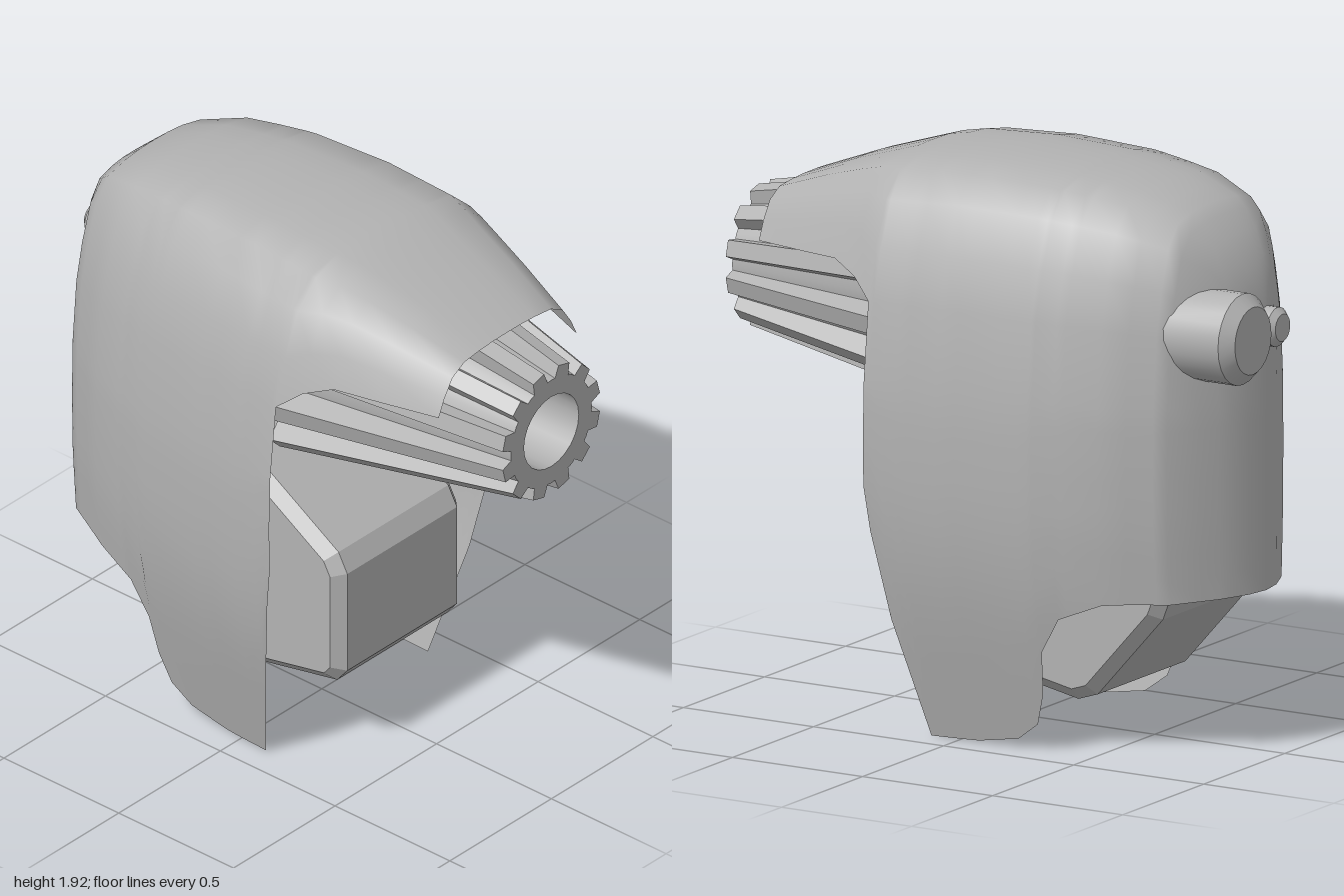
import * as THREE from 'three';
import { mergeGeometries, mergeVertices, toCreasedNormals } from 'three/addons/utils/BufferGeometryUtils.js';

const grey = new THREE.MeshStandardMaterial({ color: 0xb2b2b2, side: THREE.DoubleSide });
grey.name = 'grey metal';

// Linear lookup in a sorted list of [key, value] pairs
function lookup(table, t) {
  if (t <= table[0][0]) return table[0][1];
  for (let i = 1; i < table.length; i++) {
    const [a, va] = table[i - 1], [b, vb] = table[i];
    if (t <= b) return va + (vb - va) * (t - a) / (b - a);
  }
  return table[table.length - 1][1];
}

// Skin a list of sections, each with the same number of [x, y, z] points
function skin(sections) {
  const n = sections[0].length, index = [];
  for (let i = 0; i < sections.length - 1; i++) {
    for (let j = 0; j < n - 1; j++) {
      const a = i * n + j, b = a + n;
      index.push(a, a + 1, b, b, a + 1, b + 1);
    }
  }
  const g = new THREE.BufferGeometry();
  g.setAttribute('position', new THREE.Float32BufferAttribute(sections.flat(2), 3));
  g.setIndex(index);
  return g;
}

// Mirror half a section, given from the crown down, into a full one
const mirrored = half => [...half.slice(1).reverse().map(([x, y, z]) => [-x, y, z]), ...half];

function add(group, name, geometry) {
  const mesh = new THREE.Mesh(geometry, grey);
  mesh.name = name;
  group.add(mesh);
  return mesh;
}

// Crown of a cross-section: [share of half width, share of height]
const crown = [[0, 1], [0.18, 0.997], [0.36, 0.985], [0.59, 0.95], [0.75, 0.83], [0.86, 0.61], [0.94, 0.375]];
const topLine = [[-0.93, 1.45], [-0.915, 1.55], [-0.89, 1.62], [-0.83, 1.73], [-0.73, 1.82], [-0.55, 1.88],
  [-0.3, 1.91], [0, 1.92], [0.27, 1.905], [0.35, 1.89], [0.6, 1.81], [0.81, 1.73]];
const halfWidth = [[-0.93, 0], [-0.915, 0.09], [-0.87, 0.2], [-0.77, 0.36], [-0.57, 0.47], [-0.33, 0.53], [0, 0.558], [0.27, 0.565]];
const bottomLine = [[-0.93, 0.54], [-0.58, 0.535], [-0.42, 0.47], [-0.35, 0.35], [-0.335, 0.2], [-0.3, 0.09],
  [-0.22, 0.03], [-0.07, 0.005], [0.11, 0], [0.2, 0.4], [0.25, 0.7], [0.27, 0.85]];
const sideTaper = [[0, 0.71], [0.2, 0.8], [0.4, 0.89], [0.54, 0.945], [0.77, 0.99], [1, 1], [1.2, 0.99]];

function shellGeometry() {
  // Cowl body, from the rear wall to the front edge
  const stations = [-0.93, -0.915, -0.89, -0.87, -0.83, -0.77, -0.73, -0.65, -0.57, -0.45, -0.42, -0.35, -0.335,
    -0.3, -0.22, -0.07, 0, 0.11, 0.15, 0.2, 0.25, 0.27];
  const body = stations.map(z => {
    const w = lookup(halfWidth, z), top = lookup(topLine, z), low = lookup(bottomLine, z);
    const half = crown.map(([fx, k]) => [w * fx, 1.2 + (top - 1.2) * k, z]);
    for (let i = 0; i <= 8; i++) {
      const y = 1.2 + (low - 1.2) * i / 8;
      half.push([w * lookup(sideTaper, y), y, z]);
    }
    return mirrored(half);
  });
  // Visor reaching forward over the turbine: z, edge x, edge y
  const visor = [[0.27, 0.5311, 1.4644], [0.35, 0.49, 1.53], [0.45, 0.45, 1.57], [0.6, 0.405, 1.565], [0.81, 0.34, 1.56]]
    .map(([z, ex, ey]) => mirrored(crown.map(([fx, k]) =>
      [ex * fx / 0.94, ey + (lookup(topLine, z) - ey) * (k - 0.375) / 0.625, z])));
  const g = mergeVertices(mergeGeometries([skin(body), skin(visor)]), 1e-3);
  g.computeVertexNormals();
  return g;
}

// Chamfered block from a side profile of [z, y] corners
function blockGeometry() {
  const bevel = 0.04, width = 0.62;
  const corners = [[0.35, 0.305], [0.35, 0.77], [-0.15, 1.08], [-0.73, 1.08], [-0.73, 0.5], [-0.42, 0.15]]
    .map(p => new THREE.Vector2(...p));
  const points = corners.flatMap((p, i) => [corners.at(i - 1), corners[(i + 1) % corners.length]]
    .map(q => p.clone().add(q.clone().sub(p).setLength(0.045))));
  const g = new THREE.ExtrudeGeometry(new THREE.Shape(points), {
    depth: width - 2 * bevel, bevelEnabled: true, bevelSegments: 1,
    bevelSize: bevel, bevelThickness: bevel, bevelOffset: -bevel,
  });
  g.translate(0, 0, bevel - width / 2);
  return g.rotateY(-Math.PI / 2);
}

// Turned part along z from [radius, z] points
function turned(points, segments) {
  const g = new THREE.LatheGeometry(points.map(p => new THREE.Vector2(...p)), segments);
  return toCreasedNormals(g.rotateX(Math.PI / 2), 0.5);
}

// Tapering blade lying along z above the turbine axis
function bladeGeometry() {
  const g = new THREE.BoxGeometry(1, 1, 1), p = g.attributes.position;
  for (let i = 0; i < p.count; i++) {
    const front = p.getZ(i) > 0, outer = p.getY(i) > 0;
    const width = front ? (outer ? 0.055 : 0.07) : (outer ? 0.07 : 0.1);
    const radius = front ? (outer ? 0.24 : 0.185) : (outer ? 0.425 : 0.32);
    p.setXYZ(i, p.getX(i) * width, radius, front ? 1 : 0.06);
  }
  const flat = g.toNonIndexed();
  flat.computeVertexNormals();
  return flat;
}

export function createModel() {
  const model = new THREE.Group();
  model.name = 'engine';

  add(model, 'cowlShell', shellGeometry());
  add(model, 'engineBlock', blockGeometry());

  // Turbine: hollow cone with twelve blades
  const turbine = new THREE.Group();
  turbine.name = 'turbine';
  turbine.position.y = 1.425;
  add(turbine, 'turbineHub', turned([[0, 0.06], [0.34, 0.06], [0.2, 1], [0.135, 1], [0.135, 0.5], [0, 0.5]], 24));
  const blade = bladeGeometry();
  for (let i = 0; i < 12; i++) {
    add(turbine, 'turbineBlade', blade).rotation.z = (i + 0.5) * Math.PI / 6;
  }
  model.add(turbine);

  // Rear ports: x, radius, inner z, end z, chamfer
  for (const [name, x, r, z0, z1, c] of [
    ['largeRearPort', 0.195, 0.153, -0.7, -1, 0.04],
    ['smallRearPort', -0.012, 0.066, -0.8, -0.985, 0.02],
  ]) {
    add(model, name, turned([[0, z1], [r - c, z1], [r, z1 + c], [r, z0], [0, z0]], 24)).position.set(x, 1.425, 0);
  }
  return model;
}
